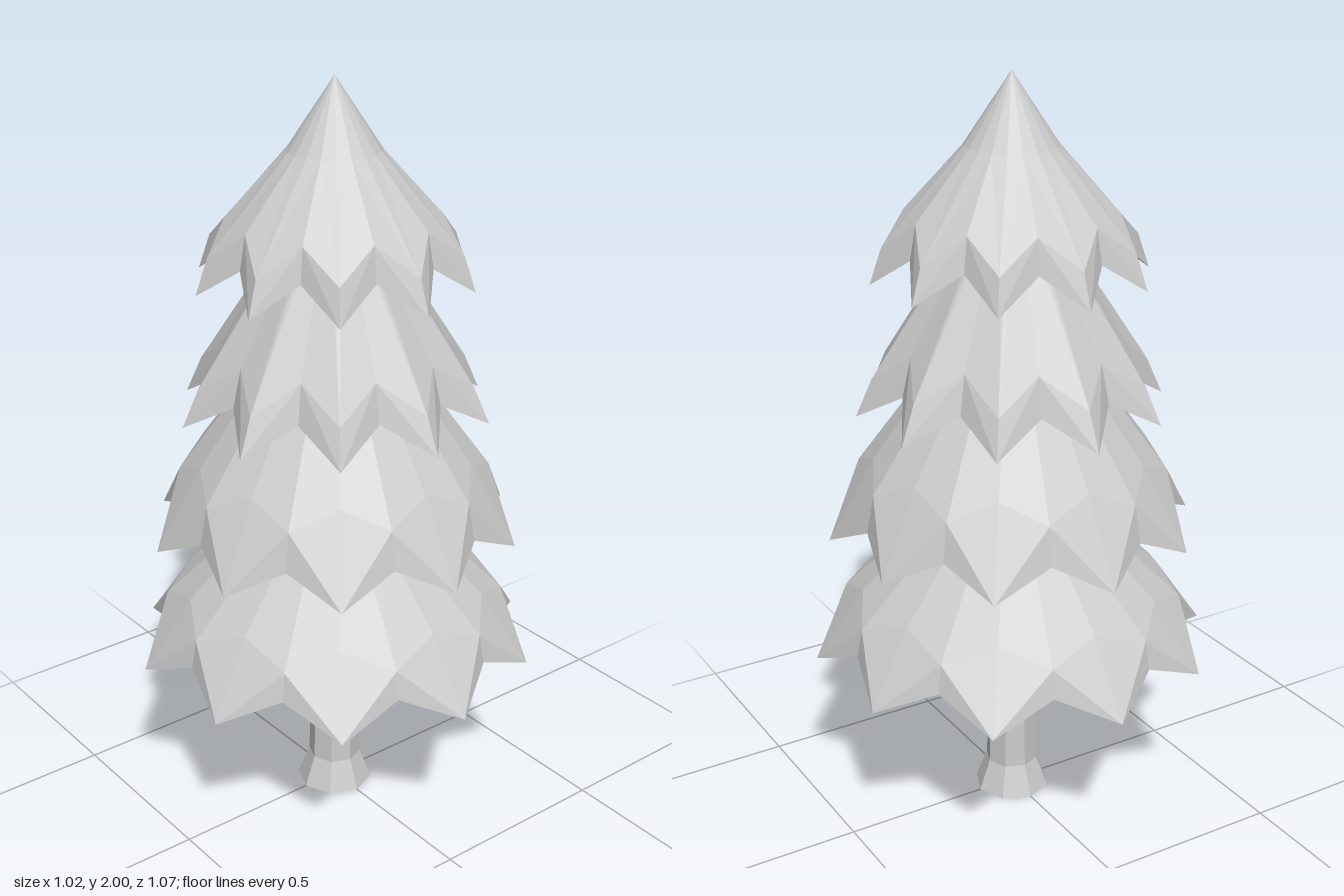
import * as THREE from 'three';

const TIPS = 10;
const material = new THREE.MeshStandardMaterial({
  color: 0xcccccc, flatShading: true, side: THREE.DoubleSide,
});

// Skin between star-shaped rings, listed from the top, over the rim and back in.
// Ring: [tip radius, tip height, notch radius, notch height]
function starSkirt(rings) {
  const n = TIPS * 2;
  const point = (ring, i) => {
    const [r, y] = i % 2 ? ring.slice(2) : ring;
    const a = (i % n) * Math.PI / TIPS;
    return [r * Math.sin(a), y, r * Math.cos(a)];
  };
  const pos = [];
  for (let k = 0; k < rings.length - 1; k++) {
    for (let i = 0; i < n; i++) {
      const a = point(rings[k], i), b = point(rings[k], i + 1);
      const c = point(rings[k + 1], i), d = point(rings[k + 1], i + 1);
      // Diagonals run from upper notch to lower tip, mirrored about each tip
      const tris = i % 2 ? [a, c, d, a, d, b] : [a, c, b, b, c, d];
      const closed = rings[k][0] === 0;
      pos.push(...(closed ? [a, c, d] : tris).flat());
    }
  }
  const geo = new THREE.BufferGeometry();
  geo.setAttribute('position', new THREE.Float32BufferAttribute(pos, 3));
  geo.computeVertexNormals();
  return geo;
}

export function createModel() {
  const tree = new THREE.Group();
  tree.name = 'pineTree';
  const add = (name, geo) => {
    const mesh = new THREE.Mesh(geo, material);
    mesh.name = name;
    tree.add(mesh);
  };

  // Eight-sided trunk with a flared, open foot
  const trunk = [[0.103, 0], [0.072, 0.085], [0.06, 0.5], [0.045, 1.6]]
    .map(([x, y]) => new THREE.Vector2(x, y));
  add('trunk', new THREE.LatheGeometry(trunk, 8));

  // Branch tiers, bottom to top: neck, bend, jagged rim, underside at the trunk
  add('lowestBranches', starSkirt([
    [0.05, 0.99, 0.05, 0.99],
    [0.405, 0.65, 0.453, 0.605],
    [0.536, 0.46, 0.468, 0.53],
    [0.05, 0.88, 0.05, 0.88],
  ]));
  add('lowerBranches', starSkirt([
    [0.05, 1.46, 0.05, 1.46],
    [0.365, 1.025, 0.407, 0.975],
    [0.488, 0.805, 0.427, 0.875],
    [0.05, 1.3, 0.05, 1.3],
  ]));
  add('upperBranches', starSkirt([
    [0.05, 1.72, 0.05, 1.72],
    [0.364, 1.24, 0.292, 1.32],
    [0.407, 1.143, 0.317, 1.22],
    [0.05, 1.56, 0.05, 1.56],
  ]));
  add('topBranches', starSkirt([
    [0, 2, 0, 2],
    [0.12, 1.82, 0.12, 1.82],
    [0.33, 1.578, 0.27, 1.655],
    [0.361, 1.487, 0.287, 1.567],
    [0.05, 1.73, 0.05, 1.73],
  ]));
  return tree;
}
